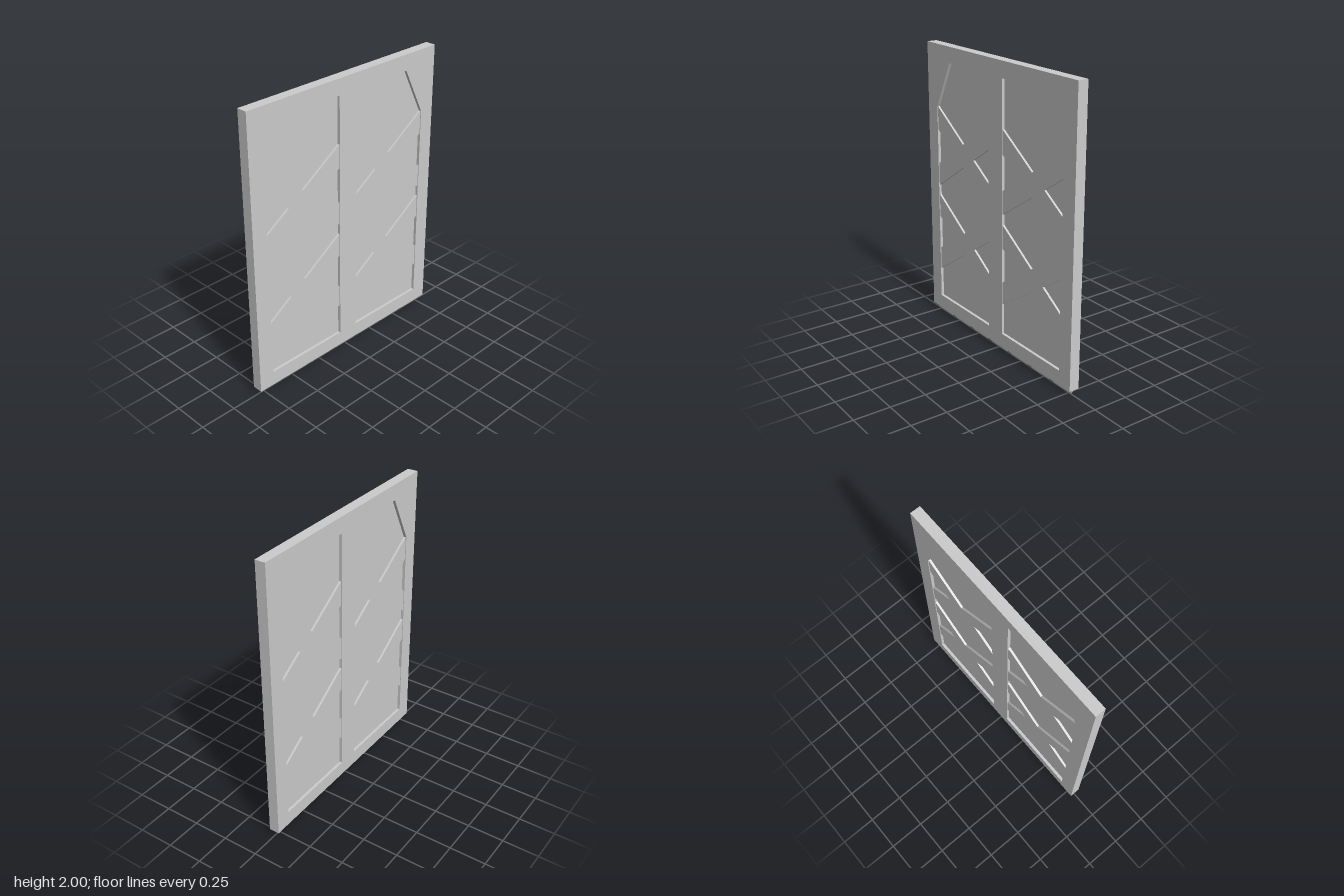
import * as THREE from 'three';

const HALF = 0.036; // half thickness of the door slab
const material = new THREE.MeshStandardMaterial({ color: 0xcccccc, flatShading: true });

const toPoints = (list) => list.map(([z, y]) => new THREE.Vector2(z, y));

// Extrudes a (z, y) outline across x, centred on x = 0
function slab(name, outline, half, holes = []) {
  const shape = new THREE.Shape(toPoints(outline));
  shape.holes = holes.map((h) => new THREE.Path(toPoints(h)));
  const geometry = new THREE.ExtrudeGeometry(shape, { depth: half * 2, bevelEnabled: false });
  geometry.translate(0, 0, -half).rotateY(-Math.PI / 2);
  const mesh = new THREE.Mesh(geometry, material);
  mesh.name = name;
  return mesh;
}

// Wedge tooth: wide top, tapering to a thin blade edge at the bottom
function tooth(z) {
  const geometry = new THREE.BoxGeometry(0.036, 0.04, 0.208);
  const p = geometry.attributes.position;
  for (let i = 0; i < p.count; i++) {
    if (p.getY(i) < 0) p.setXYZ(i, p.getX(i) * 0.03, p.getY(i), p.getZ(i) * 0.82);
  }
  geometry.computeVertexNormals();
  const mesh = new THREE.Mesh(geometry, material);
  mesh.position.set(0, 0.02, z);
  return mesh;
}

export function createModel() {
  const door = new THREE.Group();
  door.name = 'door';

  const inner = 0.075, outer = 0.69, mid = 0.3825;
  const opening = [[inner, 0.14], [outer, 0.14], [outer, 1.565], [0.527, 1.89], [inner, 1.89]];
  const mirror = (list, s) => list.map(([z, y]) => [z * s, y]);

  // Frame with two tall openings
  door.add(slab('frame', [[-0.8, 0.04], [0.8, 0.04], [0.8, 2], [-0.8, 2]], HALF,
    [mirror(opening, 1), mirror(opening, -1)]));

  for (const side of [1, -1]) {
    // Sunken panel filling the opening
    door.add(slab('sunkenPanel', mirror(opening, side), 0.016));

    // Two crossed braces, just below the frame surface
    for (const y of [0.64, 1.28]) {
      const brace = [
        [outer, y + 0.285], [mid, y + 0.08], [inner, y + 0.285], [inner, y + 0.122],
        [0.26, y], [inner, y - 0.122], [inner, y - 0.283], [mid, y - 0.08],
        [outer, y - 0.283], [outer, y - 0.122], [0.505, y], [outer, y + 0.122],
      ];
      door.add(slab('crossBrace', mirror(brace, side), HALF - 0.005));
    }
  }

  // Row of teeth along the bottom edge
  const teeth = new THREE.Group();
  teeth.name = 'bottomTeeth';
  for (let i = -3; i <= 3; i++) {
    const t = tooth(i * 0.2287);
    t.name = 'tooth';
    teeth.add(t);
  }
  door.add(teeth);
  return door;
}
